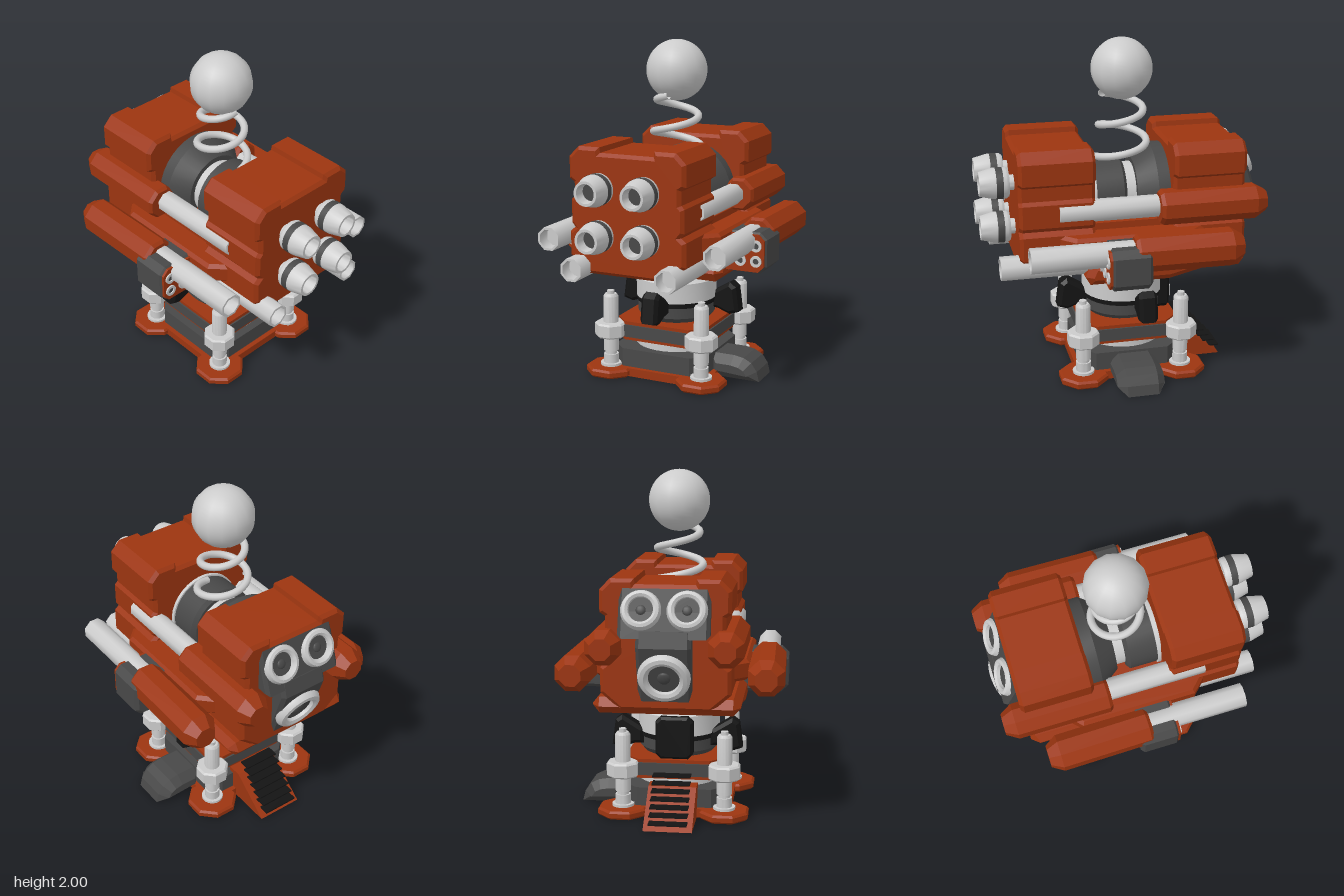
import * as THREE from 'three';
import { toCreasedNormals } from 'three/addons/utils/BufferGeometryUtils.js';

const mat = (color) => new THREE.MeshStandardMaterial({ color, side: THREE.DoubleSide });
const ORANGE = mat(0x9c3510), DARK = mat(0x484848), BLACK = mat(0x141414), GREY = mat(0xcccccc);
const ZC = -0.035; // z of the vertical axis of base and turret

export function createModel() {
  const root = new THREE.Group();

  function add(name, geo, material, x = 0, y = 0, z = 0, parent = root) {
    const m = new THREE.Mesh(geo, material);
    m.name = name;
    m.position.set(x, y, z);
    parent.add(m);
    return m;
  }
  // Bevelled extrusion of a point list, centred along its depth
  function prism(pts, depth, b = 0) {
    const s = new THREE.Shape(pts.map(([x, y]) => new THREE.Vector2(x, y)));
    return new THREE.ExtrudeGeometry(s, {
      depth: depth - 2 * b, bevelEnabled: b > 0, bevelSize: b, bevelThickness: b, bevelOffset: -b, bevelSegments: 1,
    }).translate(0, 0, b - depth / 2);
  }
  // Side profile given as [z, y], extruded across x
  const side = (pts, width, b = 0) => prism(pts, width, b).rotateY(-Math.PI / 2);
  // Box with cut corners
  function block(w, h, d, c, b = 0) {
    const x = w / 2, y = h / 2;
    return prism([[x, c - y], [x, y - c], [x - c, y], [c - x, y], [-x, y - c], [-x, c - y], [c - x, -y], [x - c, -y]], d, b);
  }
  // Horizontal plate with cut corners
  const plate = (w, d, h, c, b = 0) => block(w, d, h, c, b).rotateX(Math.PI / 2);
  // Revolved profile of [radius, height]; 8-sided ones have flats on the axes
  function turned(pts, segs = 24, crease = 0.6) {
    const k = segs === 8 ? 1 / Math.cos(Math.PI / 8) : 1;
    const v = pts.map(([r, y]) => new THREE.Vector2(r * k, y));
    return toCreasedNormals(new THREE.LatheGeometry(v, segs, Math.PI / segs), crease);
  }
  const alongZ = (...a) => turned(...a).rotateX(Math.PI / 2);
  const drum = (r, y0, y1, segs) => turned([[0, y0], [r, y0], [r, y1], [0, y1]], segs);
  // Hollow eight-sided tube from z0 to z1
  const tube = (r, z0, z1) => alongZ([[0, z0], [r, z0], [r, z1], [r * 0.8, z1], [r * 0.8, z1 - 0.08], [0, z1 - 0.08]], 8, 0.9);
  const pod = (r, z0, z1) => alongZ([[0, z0], [r * 0.6, z0], [r, z0 + 0.07], [r, z1 - 0.02], [r * 0.85, z1], [0, z1]], 8, 0.1);

  // Base plate, feet and stacked deck
  add('basePlate', plate(0.66, 0.66, 0.05, 0.06), ORANGE, 0, 0.025, ZC);
  add('lowerDeck', plate(0.6, 0.6, 0.11, 0.08), DARK, 0, 0.105, ZC);
  add('deckRing', drum(0.25, 0.16, 0.22, 32), GREY, 0, 0, ZC);
  add('lowerTrim', plate(0.58, 0.58, 0.02, 0.08), ORANGE, 0, 0.225, ZC);
  add('upperDeck', plate(0.6, 0.6, 0.075, 0.08), DARK, 0, 0.2725, ZC);
  add('upperTrim', plate(0.58, 0.58, 0.02, 0.08), ORANGE, 0, 0.32, ZC);

  for (const sx of [-1, 1]) for (const sz of [-1, 1]) {
    const leg = new THREE.Group();
    leg.name = 'leg';
    leg.position.set(sx * 0.298, 0, ZC + sz * 0.298);
    root.add(leg);
    add('foot', plate(0.28, 0.28, 0.05, 0.08, 0.012), ORANGE, 0, 0.025, 0, leg);
    add('piston', turned([[0.065, 0.05], [0.065, 0.065], [0.045, 0.065], [0.045, 0.12], [0.035, 0.12], [0.035, 0.14],
      [0.045, 0.14], [0.045, 0.48], [0.035, 0.495], [0.022, 0.495], [0.022, 0.515], [0, 0.515]], 16), GREY, 0, 0, 0, leg);
    add('nut', turned([[0, 0.23], [0.08, 0.23], [0.09, 0.24], [0.09, 0.31], [0.08, 0.32], [0, 0.32]], 8, 0.1), GREY, 0, 0, 0, leg);
  }

  // Rounded duct on the left side of the base
  const duct = prism([[0.27, 0], [0.58, 0], [0.565, 0.06], [0.53, 0.11], [0.48, 0.135], [0.42, 0.145], [0.27, 0.145]], 0.285, 0.05);
  add('sideDuct', duct, DARK, 0, 0, -0.04);

  // Rear stairs
  add('stairRamp', side([[-0.3, 0], [-0.3, 0.19], [-0.39, 0.19], [-0.63, 0]], 0.28), ORANGE);
  for (let i = 0; i < 7; i++)
    add('stairTread', new THREE.BoxGeometry(0.22, 0.008, 0.07), BLACK, 0, 0.04 + i * 0.037, -0.605 + i * 0.033);

  // Turntable with claws and rear door
  add('turntableFoot', turned([[0, 0.33], [0.21, 0.33], [0.235, 0.36], [0.235, 0.425], [0, 0.425]], 32), DARK, 0, 0, ZC);
  add('turntableBand', drum(0.24, 0.425, 0.455, 32), BLACK, 0, 0, ZC);
  add('turntableDrum', turned([[0, 0.455], [0.245, 0.455], [0.245, 0.575], [0.22, 0.595], [0, 0.595]], 32), GREY, 0, 0, ZC);
  add('neck', drum(0.1, 0.59, 0.68), BLACK, 0, 0, ZC);
  const claw = side([[0.2, 0.38], [0.25, 0.38], [0.33, 0.35], [0.39, 0.37], [0.37, 0.52], [0.33, 0.55], [0.2, 0.47]], 0.11, 0.02);
  for (const a of [-1, 0, 1])
    add('claw', claw, BLACK, 0, 0, a ? -0.12 : -0.02).rotation.y = a * Math.PI / 2;
  add('rearDoor', block(0.22, 0.25, 0.12, 0.03, 0.015), BLACK, 0, 0.455, -0.255);

  // Lower hull
  add('bellyHull', side([[0.26, 0.69], [0.23, 0.64], [-0.24, 0.64], [-0.45, 0.69], [-0.66, 0.69], [-0.69, 0.73],
    [-0.66, 0.78], [0.22, 0.78]], 0.82, 0.04), ORANGE);
  add('centreHull', new THREE.BoxGeometry(0.6, 0.27, 0.6), ORANGE, 0, 0.855, 0);
  add('sideSkirt', plate(0.88, 0.85, 0.12, 0.08, 0.02), ORANGE, 0, 0.89, -0.025);
  add('chinVent', block(0.34, 0.09, 0.2, 0.03, 0.015), DARK, 0, 0.7, 0.3);
  add('bellyVent', new THREE.BoxGeometry(0.32, 0.02, 0.22), DARK, 0, 0.66, -0.36).rotation.x = 0.23;

  // Front and rear housings share one stepped section
  const half = [[0.165, 1.41], [0.17, 1.44], [0.3, 1.44], [0.36, 1.38], [0.36, 1.255], [0.33, 1.235], [0.33, 1.155],
    [0.35, 1.135], [0.35, 1.0], [0.33, 0.975], [0.36, 0.95], [0.36, 0.81], [0.25, 0.715]];
  const section = [...half.map(([x, y]) => [-x, y]), ...half.slice().reverse()];
  add('frontHousing', prism(section, 0.44, 0.02), ORANGE, 0, 0, 0.41);
  add('rearHousing', prism(section, 0.43, 0.02), ORANGE, 0, 0, -0.485);

  // Core between the housings
  const core = new THREE.Group();
  core.name = 'core';
  core.position.y = 1.08;
  root.add(core);
  add('frontCore', alongZ([[0, -0.03], [0.19, -0.03], [0.215, -0.01], [0.215, 0.155], [0, 0.155]], 32), DARK, 0, 0, 0, core);
  add('coreRing', alongZ([[0, 0.155], [0.225, 0.155], [0.225, 0.175], [0, 0.175]], 32), GREY, 0, 0, 0, core);
  add('coreShaft', alongZ([[0.17, -0.3], [0.17, 0.22]], 24), GREY, 0, 0, 0, core);
  add('rearCore', alongZ([[0, -0.29], [0.28, -0.29], [0.28, -0.2], [0.2, -0.09], [0, -0.09]], 32), DARK, 0, 0, 0, core);

  // Four short front barrels
  for (const x of [-0.14, 0.14]) for (const y of [0.955, 1.22]) {
    add('barrel', alongZ([[0.045, 0.6], [0.045, 0.66], [0.08, 0.66], [0.09, 0.675], [0.09, 0.75], [0.07, 0.83],
      [0.055, 0.83], [0.05, 0.76]], 24), GREY, x, y);
    add('barrelBand', alongZ([[0.092, 0.695], [0.092, 0.735]], 24), DARK, x, y);
    add('barrelBore', new THREE.CircleGeometry(0.053, 24), DARK, x, y, 0.765);
  }

  // Long side guns, pods and brackets, mirrored
  for (const s of [-1, 1]) {
    add('upperTube', tube(0.06, -0.25, 0.4), GREY, s * 0.31, 1.075);
    add('upperPod', pod(0.097, -0.82, -0.18), ORANGE, s * 0.335, 1.072);
    add('lowerTube', tube(0.065, 0.15, 0.74), GREY, s * 0.292, 0.755);
    add('outerTube', tube(0.067, -0.05, 0.6), GREY, s * 0.52, 0.88);
    add('outerPod', pod(0.102, -0.62, 0.01), ORANGE, s * 0.535, 0.882).rotation.y = -s * 0.015;
    add('bracket', block(0.3, 0.24, 0.24, 0.04, 0.02), DARK, s * 0.502, 0.815, 0.045);
    add('bracketFace', block(0.28, 0.22, 0.015, 0.035), ORANGE, s * 0.502, 0.815, 0.163);
    for (const [x, y] of [[0.405, 0.77], [0.5, 0.77], [0.595, 0.77], [0.405, 0.86], [0.595, 0.86]]) {
      add('smallMuzzle', alongZ([[0.034, 0.16], [0.034, 0.18], [0.018, 0.18], [0.018, 0.165]], 16), GREY, s * x, y);
      add('smallBore', new THREE.CircleGeometry(0.018, 12), DARK, s * x, y, 0.173);
    }
  }

  // Rear face panel, wedge shaped, with three tilted ringed nozzles
  add('rearPanelTop', side([[-0.66, 1.39], [-0.7, 1.39], [-0.785, 1.13], [-0.66, 1.13]], 0.5, 0.02), DARK);
  add('rearPanelBottom', side([[-0.66, 1.17], [-0.775, 1.17], [-0.8, 1.08], [-0.7, 0.77], [-0.66, 0.77]], 0.3, 0.02), DARK);
  for (const [x, y, z, r, tilt] of [[-0.125, 1.28, -0.735, 0.112, 0.4], [0.125, 1.28, -0.735, 0.112, 0.4], [0, 0.91, -0.75, 0.145, -0.35]]) {
    const nozzle = new THREE.Group();
    nozzle.name = 'rearNozzle';
    nozzle.position.set(x, y, z);
    nozzle.rotation.x = tilt;
    root.add(nozzle);
    add('nozzleRing', alongZ([[r * 0.58, 0.01], [r * 0.62, -0.02], [r * 0.75, -0.03], [r * 0.9, -0.025], [r, 0], [r, 0.03]].reverse()
      .map(([a, b]) => [a, -b]), 28).rotateY(Math.PI), GREY, 0, 0, 0, nozzle);
    add('nozzleDisc', new THREE.CircleGeometry(r * 0.62, 28).rotateY(Math.PI), DARK, 0, 0, 0, nozzle);
    add('nozzleHub', new THREE.SphereGeometry(r * 0.25, 12, 8).scale(1, 1, 0.4), DARK, 0, 0, 0, nozzle);
  }

  // Coil spring and ball
  const coil = [];
  for (let i = 0; i <= 48; i++) {
    const t = i / 48, a = t * 4 * Math.PI, r = 0.155 - 0.04 * t;
    coil.push(new THREE.Vector3(r * Math.sin(a), 1.3 + 0.38 * t, ZC + r * Math.cos(a)));
  }
  add('spring', new THREE.TubeGeometry(new THREE.CatmullRomCurve3(coil), 120, 0.022, 10), GREY);
  add('ball', new THREE.SphereGeometry(0.18, 14, 24), GREY, 0, 1.82, ZC);
  return root;
}
